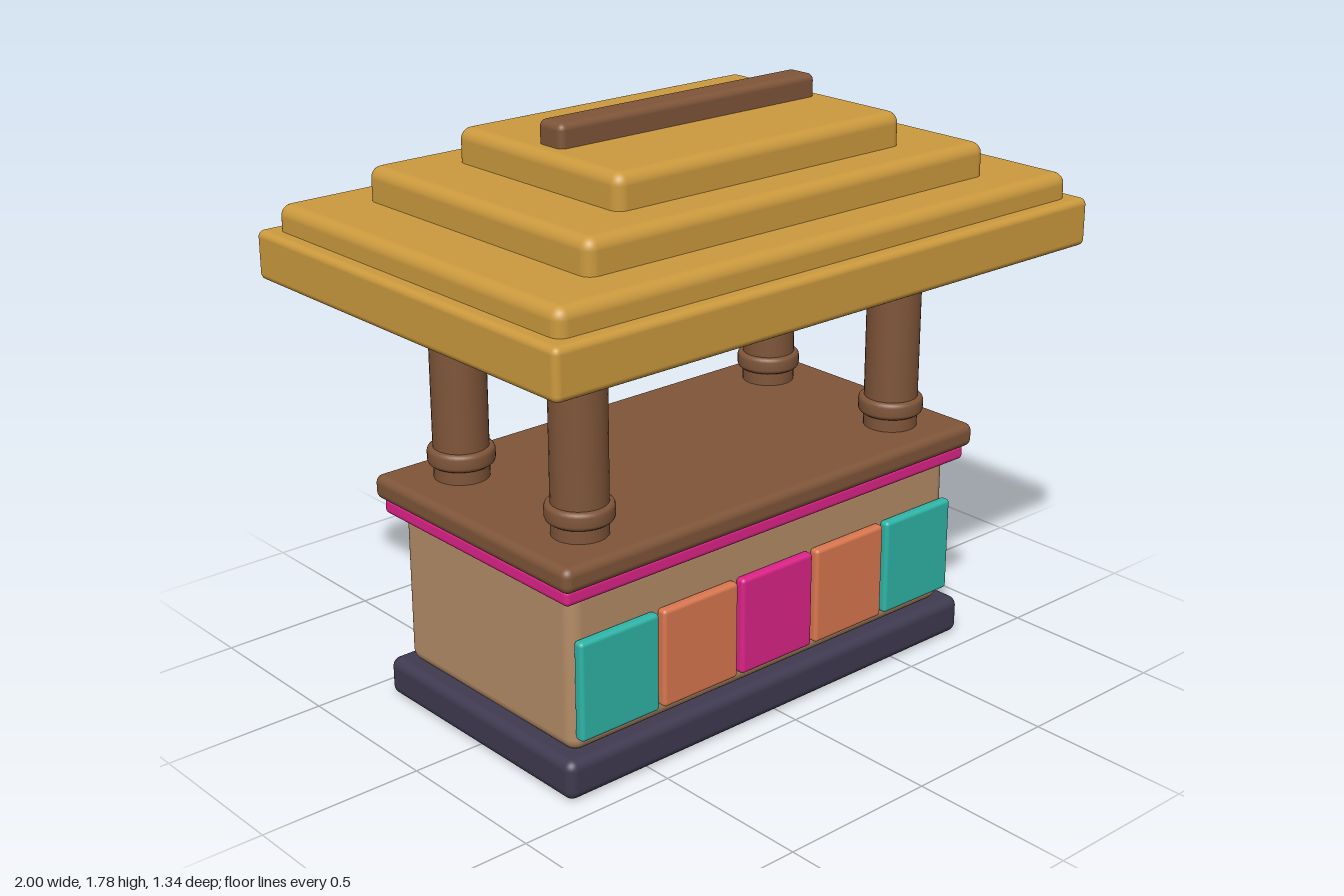
import * as THREE from 'three';
import { RoundedBoxGeometry } from 'three/addons/geometries/RoundedBoxGeometry.js';

const material = (name, color) => {
  const m = new THREE.MeshStandardMaterial({ color });
  m.name = name;
  return m;
};

export function createModel() {
  const gold = material('thatch gold', 0xcc9a3e);
  const wood = material('brown wood', 0x7f5539);
  const tan = material('tan wood', 0xb58d67);
  const dark = material('dark slate', 0x3f3a50);
  const pink = material('magenta', 0xdc2387);
  const teal = material('teal', 0x2fb5a8);
  const orange = material('terracotta', 0xd9774f);

  const model = new THREE.Group();
  model.name = 'marketStall';

  // Rounded slab given by half width, bottom, top, half depth and edge radius
  const slab = (name, mat, hx, y0, y1, hz, r, x = 0, z = 0) => {
    const mesh = new THREE.Mesh(new RoundedBoxGeometry(hx * 2, y1 - y0, hz * 2, 4, r), mat);
    mesh.name = name;
    mesh.position.set(x, (y0 + y1) / 2, z);
    model.add(mesh);
  };

  // Counter
  slab('base', dark, 0.79, 0, 0.12, 0.43, 0.03);
  slab('counterBody', tan, 0.745, 0.115, 0.61, 0.388, 0.04);
  slab('trimBand', pink, 0.785, 0.59, 0.64, 0.423, 0.015);
  slab('counterTop', wood, 0.803, 0.635, 0.71, 0.445, 0.025);

  // Front panels
  [teal, orange, pink, orange, teal].forEach((mat, i) =>
    slab('frontPanel', mat, 0.141, 0.165, 0.467, 0.0175, 0.012, (i - 2) * 0.298, 0.4025));

  // Posts with a rounded collar near the foot
  const postShape = new THREE.CylinderGeometry(0.082, 0.082, 0.61, 32);
  const profile = [[0.07, 0.752], [0.09, 0.752], [0.096, 0.757], [0.099, 0.765],
    [0.099, 0.792], [0.096, 0.8], [0.09, 0.805], [0.07, 0.805]];
  const collarShape = new THREE.LatheGeometry(profile.map(([r, y]) => new THREE.Vector2(r, y)), 32);
  for (const x of [-0.612, 0.612]) {
    for (const z of [-0.27, 0.27]) {
      const post = new THREE.Group();
      post.name = 'post';
      const shaft = new THREE.Mesh(postShape, wood);
      shaft.name = 'postShaft';
      shaft.position.y = 1.005;
      const collar = new THREE.Mesh(collarShape, wood);
      collar.name = 'postCollar';
      post.add(shaft, collar);
      post.position.set(x, 0, z);
      model.add(post);
    }
  }

  // Stepped roof
  slab('roofEave', gold, 1, 1.29, 1.435, 0.67, 0.02);
  slab('roofLowerTier', gold, 0.955, 1.37, 1.512, 0.627, 0.035);
  slab('roofMiddleTier', gold, 0.745, 1.47, 1.612, 0.486, 0.035);
  slab('roofUpperTier', gold, 0.532, 1.57, 1.712, 0.35, 0.035);
  slab('ridgeBeam', wood, 0.478, 1.68, 1.78, 0.051, 0.02);

  return model;
}
